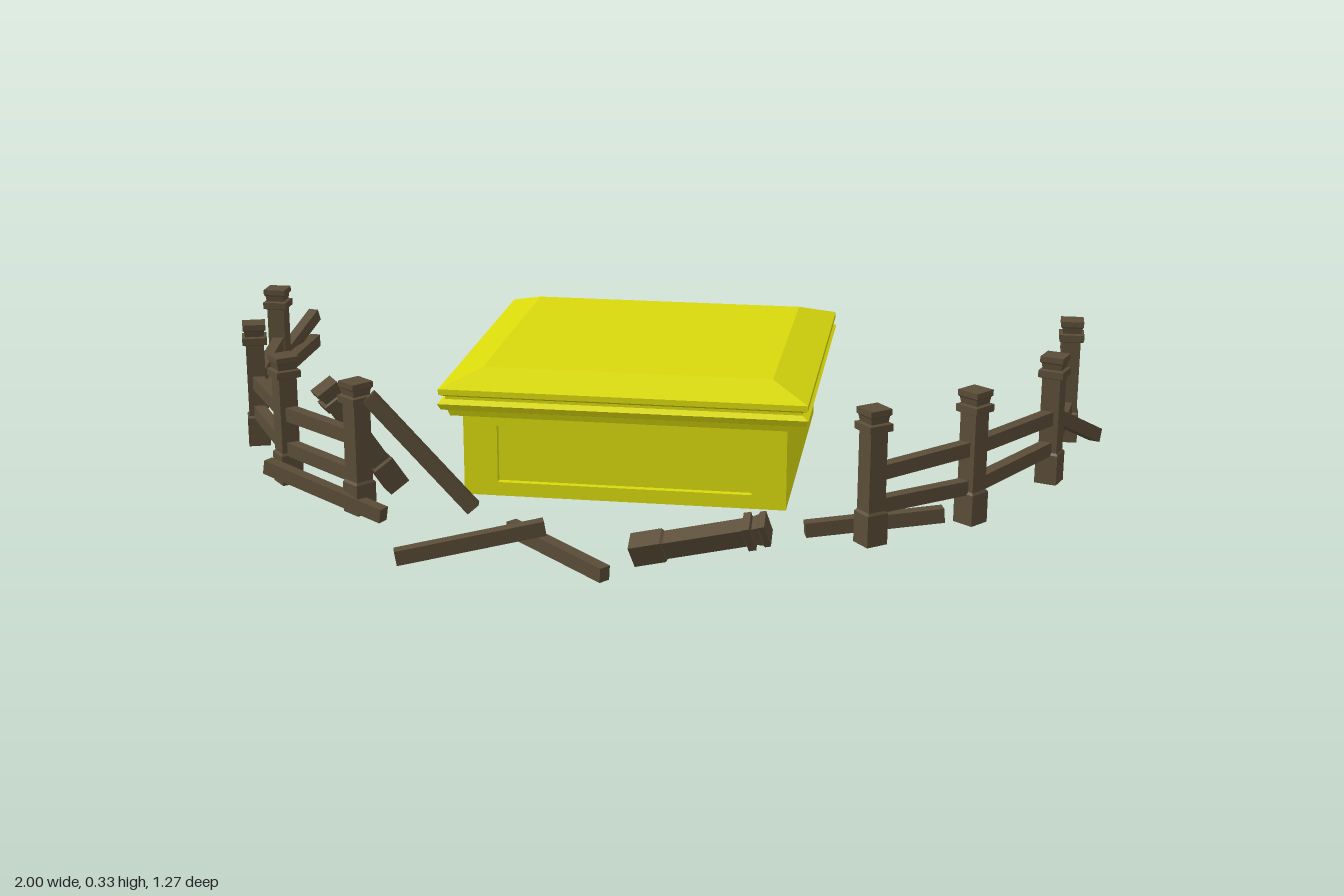
import * as THREE from 'three';

const yellow = new THREE.MeshStandardMaterial({ color: 0xd9d90d, side: THREE.DoubleSide });
yellow.name = 'yellow paint';
const wood = new THREE.MeshStandardMaterial({ color: 0x5a4c37 });
wood.name = 'weathered wood';

// Square stack of sections: pairs of [half width, y], flat faces
function squareLoft(profile) {
  const pts = profile.map(([r, y]) => new THREE.Vector2(r * Math.SQRT2, y));
  const g = new THREE.LatheGeometry(pts, 4).rotateY(Math.PI / 4).toNonIndexed();
  g.computeVertexNormals();
  return g;
}

function add(parent, name, geometry, material) {
  const mesh = new THREE.Mesh(geometry, material);
  mesh.name = name;
  parent.add(mesh);
  return mesh;
}

// Hollow plinth with recessed panels front and back, and a moulded lid
function makePlinth() {
  const g = new THREE.Group();
  g.name = 'plinth';
  const lid = add(g, 'lid', squareLoft([
    [0.343, 0.213], [0.366, 0.213], [0.37, 0.226], [0.382, 0.23], [0.388, 0.243],
    [0.374, 0.251], [0.374, 0.257], [0.386, 0.263], [0.386, 0.275], [0.306, 0.305], [0, 0.305],
  ]), yellow);
  lid.scale.z = 0.985;

  const hw = 0.342, hd = 0.345, y0 = 0.035, y1 = 0.214, depth = 0.015;
  for (const s of [1, -1]) {
    const side = add(g, 'sideWall', new THREE.PlaneGeometry(hd * 2, y1 - y0), yellow);
    side.rotation.y = s * Math.PI / 2;
    side.position.set(s * hw, (y0 + y1) / 2, 0);

    const face = new THREE.Group();
    face.name = 'panelledWall';
    const outline = new THREE.Shape([[-hw, y0], [hw, y0], [hw, y1], [-hw, y1]].map(p => new THREE.Vector2(...p)));
    outline.holes.push(new THREE.Path([[-0.27, 0.065], [-0.27, 0.19], [0.27, 0.19], [0.27, 0.065]].map(p => new THREE.Vector2(...p))));
    const frame = add(face, 'wallFrame', new THREE.ExtrudeGeometry(outline, { depth, bevelEnabled: false }), yellow);
    frame.position.z = hd - depth;
    const panel = add(face, 'recessedPanel', new THREE.PlaneGeometry(0.54, 0.125), yellow);
    panel.position.set(0, 0.1275, hd - depth);
    if (s < 0) face.rotation.y = Math.PI;
    g.add(face);
  }
  g.position.set(-0.008, 0, -0.146);
  return g;
}

// Post: foot, shaft, collar ring and flared head, standing from y = 0
const postGeometry = squareLoft([
  [0, 0], [0.024, 0], [0.024, 0.065], [0.02, 0.07], [0.02, 0.232], [0.027, 0.235], [0.027, 0.25],
  [0.02, 0.252], [0.022, 0.265], [0.025, 0.268], [0.025, 0.28], [0, 0.28],
]);

const UP = new THREE.Vector3(0, 1, 0);

// Post laid between a foot and a direction to its head
function fallenPost(parent, foot, head, spin) {
  const a = new THREE.Vector3(...foot), dir = new THREE.Vector3(...head).sub(a).normalize();
  const post = add(parent, 'fallenPost', postGeometry, wood);
  post.position.copy(a);
  post.quaternion.setFromUnitVectors(UP, dir).multiply(new THREE.Quaternion().setFromAxisAngle(UP, spin));
}

// Plank running from a to b
function plank(parent, name, a, b) {
  const p = new THREE.Vector3(...a), q = new THREE.Vector3(...b);
  const m = add(parent, name, new THREE.BoxGeometry(0.025, 0.03, p.distanceTo(q)), wood);
  m.position.copy(p).lerp(q, 0.5);
  m.lookAt(q);
}

// Row of posts [x, z] joined by rails; upperY gives upper rail heights, null where broken away
function makeFence(name, posts, upperY) {
  const g = new THREE.Group();
  g.name = name;
  posts.forEach(([x, z], i) => {
    const post = add(g, 'post', postGeometry, wood);
    post.position.set(x, 0.05, z);
    const [nx, nz] = posts[Math.min(i + 1, posts.length - 1)];
    const [px, pz] = posts[Math.max(i - 1, 0)];
    post.rotation.y = i === 0 ? 0 : Math.atan2(nx - px, nz - pz);
    if (i === posts.length - 1) return;
    plank(g, 'lowerRail', [x, 0.128, z], [nx, 0.128, nz]);
    const u = upperY[i];
    if (u) plank(g, 'upperRail', [x, u[0], z], [nx, u[1], nz]);
  });
  return g;
}

export function createModel() {
  const model = new THREE.Group();
  model.name = 'plinthWithBrokenFence';
  model.add(makePlinth());

  // Fence on the model's left
  const left = makeFence('leftFence',
    [[0.918, -0.335], [0.875, -0.035], [0.713, 0.245], [0.52, 0.4]],
    [null, [0.195, 0.21], [0.21, 0.195]]);
  plank(left, 'endRail', [0.918, 0.128, -0.335], [0.918, 0.128, -0.64]);
  plank(left, 'endRail', [0.918, 0.212, -0.335], [0.918, 0.195, -0.64]);
  plank(left, 'brokenRail', [0.865, 0.207, -0.02], [0.982, 0.075, -0.3]);
  plank(left, 'looseRail', [0.39, 0.07, 0.395], [0.66, 0.092, 0.325]);
  model.add(left);

  // Fence on the model's right
  const right = makeFence('rightFence',
    [[-0.922, -0.335], [-0.876, -0.025], [-0.73, 0.22], [-0.527, 0.38]],
    [[0.2, 0.195], [0.195, 0.205], [0.205, 0.21]]);
  plank(right, 'endRail', [-0.922, 0.128, -0.335], [-0.922, 0.128, -0.61]);
  plank(right, 'brokenRail', [-0.92, 0.195, -0.61], [-0.986, 0.075, -0.345]);
  plank(right, 'leaningRail', [-0.5, 0.3, 0.385], [-0.295, 0.06, 0.352]);
  plank(right, 'looseRail', [-0.745, 0.115, 0.312], [-0.465, 0.062, 0.427]);
  fallenPost(right, [-0.49, 0.06, 0.232], [-0.605, 0.28, 0.312], 0.6);
  model.add(right);

  // Debris across the gap
  const debris = new THREE.Group();
  debris.name = 'debris';
  plank(debris, 'looseRail', [-0.39, 0.048, 0.618], [-0.11, 0.095, 0.53]);
  plank(debris, 'looseRail', [-0.195, 0.06, 0.45], [0.025, 0.038, 0.62]);
  fallenPost(debris, [0.055, 0.033, 0.47], [0.325, 0.1, 0.487], 0.3);
  model.add(debris);
  return model;
}
